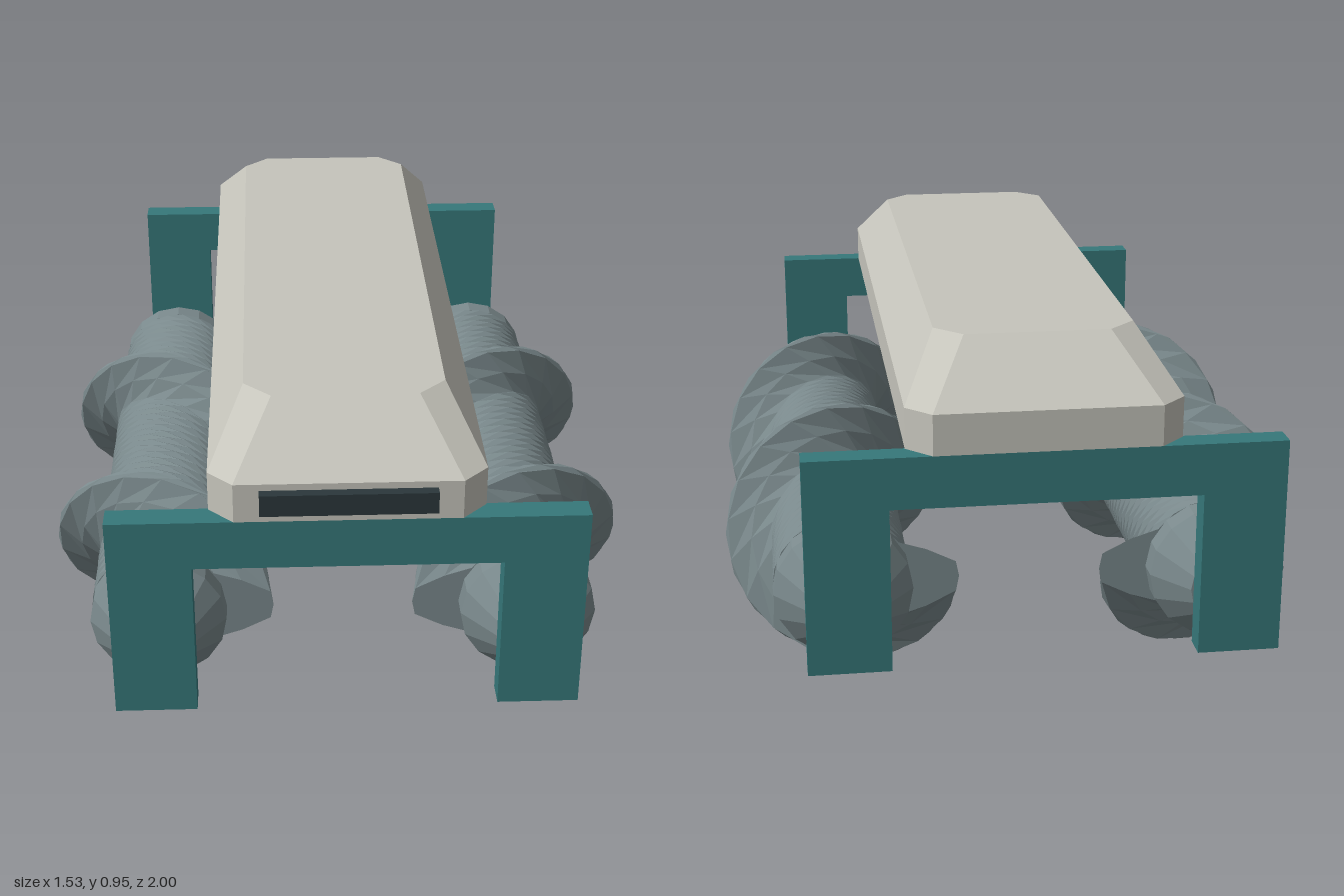
import * as THREE from 'three';

const ZC = -0.0125; // middle of hull, frames and screws along z

const paint = (color) => new THREE.MeshStandardMaterial({ color, flatShading: true });

function addMesh(parent, name, geometry, material, x = 0, y = 0, z = 0) {
  const mesh = new THREE.Mesh(geometry, material);
  mesh.name = name;
  mesh.position.set(x, y, z);
  parent.add(mesh);
  return mesh;
}

// Closed loft through rings of [x, y, z]; rings run counter-clockwise seen
// from the first end. side = -1 mirrors the solid in x.
function loft(rings, side = 1) {
  const pos = [];
  const tri = (a, b, c) => {
    for (const p of side > 0 ? [a, b, c] : [a, c, b]) pos.push(p[0] * side, p[1], p[2]);
  };
  const n = rings[0].length;
  const centre = (ring) => [0, 1, 2].map((k) => ring.reduce((s, p) => s + p[k], 0) / n);
  const first = rings[0], last = rings[rings.length - 1];
  const c0 = centre(first), c1 = centre(last);
  for (let j = 0; j < n; j++) {
    const k = (j + 1) % n;
    for (let i = 0; i < rings.length - 1; i++) {
      tri(rings[i][j], rings[i + 1][j], rings[i][k]);
      tri(rings[i + 1][j], rings[i + 1][k], rings[i][k]);
    }
    tri(c0, first[j], first[k]);
    tri(c1, last[k], last[j]);
  }
  const geo = new THREE.BufferGeometry();
  geo.setAttribute('position', new THREE.Float32BufferAttribute(pos, 3));
  geo.computeVertexNormals();
  return geo;
}

// Rectangle with cut corners at height y
function octagon(y, hx, hz, cut) {
  const ix = hx - cut, iz = hz - cut;
  return [[hx, iz], [hx, -iz], [ix, -hz], [-ix, -hz], [-hx, -iz], [-hx, iz], [-ix, hz], [ix, hz]]
    .map(([x, z]) => [x, y, z]);
}

// Drum with one spiral flight: a lobed circle twisted through two turns
function screwGeometry(side) {
  const R = 0.173, half = 0.70, steps = 36, turns = 2;
  const profile = [[-35, R], [-20, 0.225], [-8, 0.288], [0, 0.293], [8, 0.288], [20, 0.225]];
  for (let a = 35; a < 324; a += 16) profile.push([a, R]);
  const rings = [];
  for (let i = 0; i <= steps; i++) {
    const t = i / steps, turn = Math.PI - t * turns * 2 * Math.PI;
    rings.push(profile.map(([deg, r]) => {
      const a = turn + THREE.MathUtils.degToRad(deg);
      return [r * Math.cos(a), r * Math.sin(a), half - 2 * half * t];
    }));
  }
  return loft(rings, side);
}

// Collar, cone and axle stub at one end of a drum
function endGeometry(dir) {
  const pts = [[0, 0.695], [0.173, 0.70], [0.173, 0.757], [0.092, 0.86], [0.053, 0.86], [0.053, 0.93]]
    .map(([r, y]) => new THREE.Vector2(r, y));
  return new THREE.LatheGeometry(pts, 16).rotateX(dir * Math.PI / 2);
}

// Upside-down U frame
function frameGeometry() {
  const s = new THREE.Shape([
    [-0.57, 0.185], [-0.37, 0.185], [-0.37, 0.595], [0.37, 0.595],
    [0.37, 0.185], [0.57, 0.185], [0.57, 0.722], [-0.57, 0.722],
  ].map(([x, y]) => new THREE.Vector2(x, y)));
  return new THREE.ExtrudeGeometry(s, { depth: 0.064, bevelEnabled: false });
}

export function createModel() {
  const model = new THREE.Group();
  model.name = 'screwVehicle';
  const hullPaint = paint(0xc6c5bc), framePaint = paint(0x36787a);
  const screwPaint = paint(0x7a898c), darkPaint = paint(0x2b373b);

  // Hull with sloped shoulders
  addMesh(model, 'hull', loft([
    octagon(0.955, 0.242, 0.803, 0.066),
    octagon(0.822, 0.328, 0.9875, 0.06),
    octagon(0.722, 0.328, 0.9875, 0.06),
  ]), hullPaint, 0, 0, ZC);

  // Front window bar
  addMesh(model, 'frontWindow', new THREE.BoxGeometry(0.415, 0.055, 0.06), darkPaint, 0, 0.778, 0.97);

  // Frames at both ends
  addMesh(model, 'frontFrame', frameGeometry(), framePaint, 0, 0, 0.911);
  addMesh(model, 'backFrame', frameGeometry(), framePaint, 0, 0, -1);

  // Pair of mirrored screws
  for (const side of [1, -1]) {
    const screw = new THREE.Group();
    screw.name = side > 0 ? 'leftScrew' : 'rightScrew';
    screw.position.set(side * 0.472, 0.293, ZC);
    addMesh(screw, 'spiralDrum', screwGeometry(side), screwPaint);
    addMesh(screw, 'frontEnd', endGeometry(1), screwPaint);
    addMesh(screw, 'backEnd', endGeometry(-1), screwPaint);
    model.add(screw);
  }
  return model;
}
